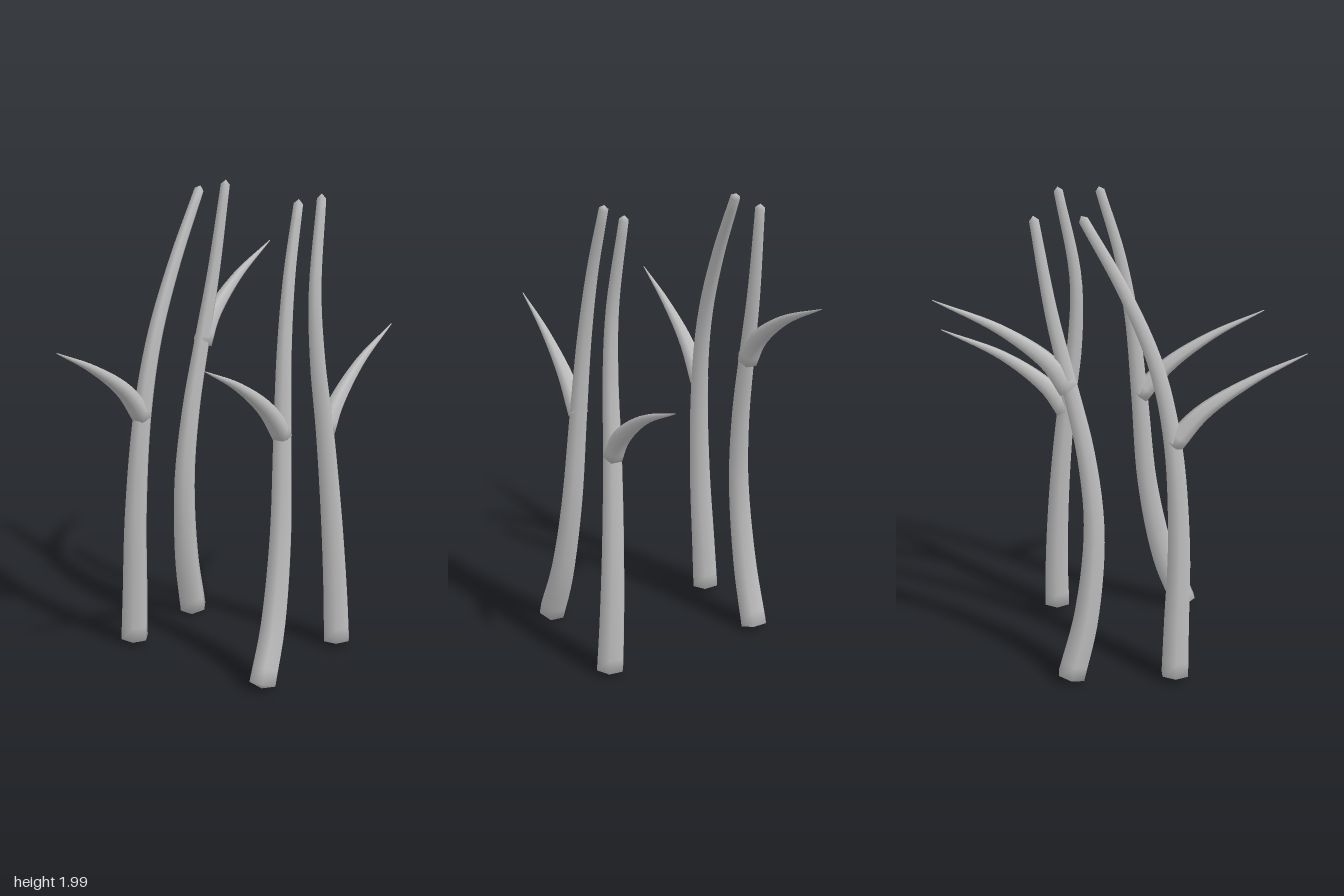
import * as THREE from 'three';

const SIDES = 6;

// Tapered six-sided stalk along a curve, closed by a low cone at each end
function taperedTube(points, r0, r1, rings, cap0, cap1) {
  const curve = new THREE.CatmullRomCurve3(points.map(p => new THREE.Vector3(...p)));
  const pos = [], idx = [];
  const X = new THREE.Vector3(1, 0, 0);
  for (let i = 0; i <= rings; i++) {
    const t = i / rings;
    const c = curve.getPointAt(t);
    const tan = curve.getTangentAt(t);
    const u = X.clone().addScaledVector(tan, -X.dot(tan)).normalize();
    const v = new THREE.Vector3().crossVectors(tan, u);
    const r = r0 + (r1 - r0) * t;
    for (let j = 0; j < SIDES; j++) {
      const a = (j / SIDES) * Math.PI * 2;
      const p = c.clone().addScaledVector(u, r * Math.cos(a)).addScaledVector(v, r * Math.sin(a));
      pos.push(p.x, p.y, p.z);
    }
  }
  for (let i = 0; i < rings; i++) {
    for (let j = 0; j < SIDES; j++) {
      const k = (j + 1) % SIDES;
      const a = i * SIDES + j, b = i * SIDES + k;
      idx.push(a, b, b + SIDES, a, b + SIDES, a + SIDES);
    }
  }
  // end caps
  const s = curve.getPointAt(0).addScaledVector(curve.getTangentAt(0), -cap0);
  const e = curve.getPointAt(1).addScaledVector(curve.getTangentAt(1), cap1);
  const sI = pos.length / 3, eI = sI + 1, last = rings * SIDES;
  pos.push(s.x, s.y, s.z, e.x, e.y, e.z);
  for (let j = 0; j < SIDES; j++) {
    const k = (j + 1) % SIDES;
    idx.push(sI, k, j, eI, last + j, last + k);
  }
  const g = new THREE.BufferGeometry();
  g.setAttribute('position', new THREE.Float32BufferAttribute(pos, 3));
  g.setIndex(idx);
  g.computeVertexNormals();
  return g;
}

// Stem and thorn centre lines as [z, y]; x leans inward with height
const STALKS = [
  { name: 'frontLeftStalk', side: 1, thornX: 0.325,
    stem: [[0.32, 0.03], [0.23, 0.25], [0.15, 0.62], [0.11, 1.05], [0.075, 1.4], [0.02, 1.7], [-0.063, 1.98]],
    thorn: [[0.11, 1.055], [0.235, 1.19], [0.43, 1.325], [0.655, 1.435]] },
  { name: 'frontRightStalk', side: -1, thornX: 0.328,
    stem: [[0.23, 0.03], [0.235, 0.25], [0.243, 0.62], [0.215, 1.05], [0.145, 1.38], [0.02, 1.68], [-0.145, 1.98]],
    thorn: [[0.215, 1.055], [0.335, 1.19], [0.535, 1.325], [0.755, 1.435]] },
  { name: 'backLeftStalk', side: 1, thornX: 0.33,
    stem: [[-0.265, 0.03], [-0.265, 0.25], [-0.25, 0.6], [-0.215, 1.0], [-0.175, 1.3], [-0.17, 1.6], [-0.24, 1.98]],
    thorn: [[-0.222, 0.99], [-0.295, 1.09], [-0.485, 1.235], [-0.757, 1.36]] },
  { name: 'backRightStalk', side: -1, thornX: 0.316,
    stem: [[-0.21, 0.03], [-0.145, 0.3], [-0.11, 0.68], [-0.14, 1.0], [-0.205, 1.3], [-0.275, 1.6], [-0.34, 1.98]],
    thorn: [[-0.212, 1.295], [-0.29, 1.405], [-0.48, 1.545], [-0.747, 1.67]] },
];

export function createModel() {
  const model = new THREE.Group();
  model.name = 'thornedStalks';
  const grey = new THREE.MeshStandardMaterial({ color: 0xbfbfbf });
  grey.name = 'pale grey';

  const lean = y => 0.374 - 0.048 * y;
  for (const s of STALKS) {
    const group = new THREE.Group();
    group.name = s.name;

    const stem = new THREE.Mesh(
      taperedTube(s.stem.map(([z, y]) => [s.side * lean(y), y, z]), 0.063, 0.022, 32, 0.02, 0.02), grey);
    stem.name = 'stem';

    const rootX = lean(s.thorn[0][1]);
    const thorn = new THREE.Mesh(
      taperedTube(s.thorn.map(([z, y], i) =>
        [s.side * (rootX + (s.thornX - rootX) * i / 3), y, z]), 0.047, 0.002, 16, 0.015, 0.002), grey);
    thorn.name = 'thorn';

    group.add(stem, thorn);
    model.add(group);
  }
  return model;
}
